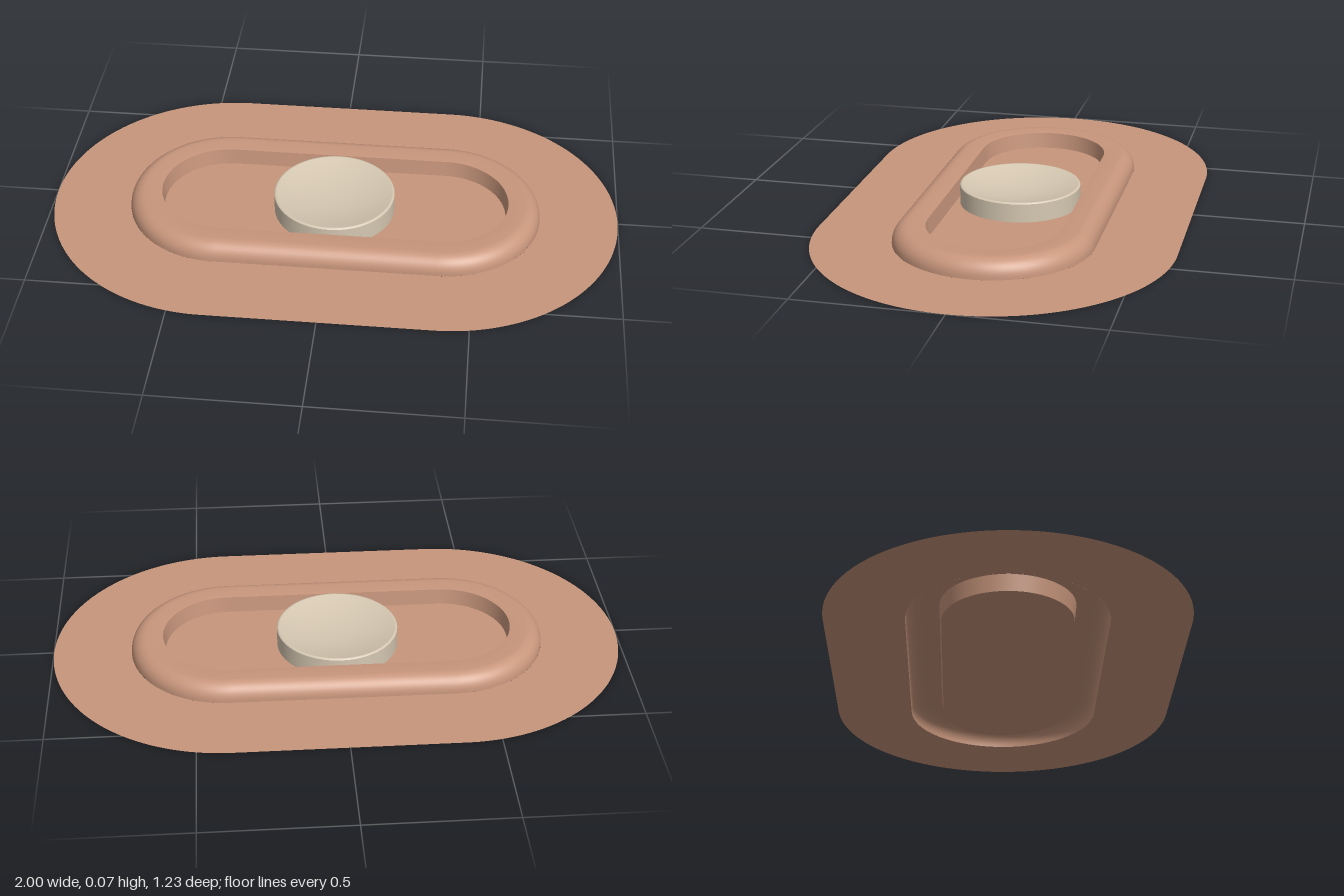
import * as THREE from 'three';

const HALF = 0.385; // half length of the straight sides

// Stadium outline of radius r in the given path or shape
function stadium(path, r) {
  path.moveTo(-HALF, -r);
  path.lineTo(HALF, -r);
  path.absarc(HALF, 0, r, -Math.PI / 2, Math.PI / 2, false);
  path.lineTo(-HALF, r);
  path.absarc(-HALF, 0, r, Math.PI / 2, Math.PI * 1.5, false);
  return path;
}

// Flat horizontal sheet at y = 0, optionally with a stadium hole
function sheet(r, hole) {
  const shape = stadium(new THREE.Shape(), r);
  if (hole) shape.holes.push(stadium(new THREE.Path(), hole));
  return new THREE.ShapeGeometry(shape, 48).rotateX(-Math.PI / 2);
}

// Sweep a profile of [offset, height] points around the stadium.
// A lathe is split in two halves, which are pulled apart by the straight sides.
function sweep(profile) {
  const steps = 96;
  const pos = [], index = [];
  const n = profile.length;
  for (let i = 0; i <= steps + 1; i++) {
    const right = i <= steps / 2;
    const a = -Math.PI / 2 + (right ? i : i - 1) / steps * Math.PI * 2;
    for (const [r, y] of profile) {
      pos.push((right ? HALF : -HALF) + r * Math.cos(a), y, -r * Math.sin(a));
    }
  }
  const rows = steps + 2;
  for (let i = 0; i < rows; i++) {
    const next = (i + 1) % rows;
    for (let j = 0; j < n - 1; j++) {
      const a = i * n + j, b = next * n + j;
      index.push(a, b, a + 1, b, b + 1, a + 1);
    }
  }
  const g = new THREE.BufferGeometry();
  g.setAttribute('position', new THREE.Float32BufferAttribute(pos, 3));
  g.setIndex(index);
  g.computeVertexNormals();
  return g;
}

export function createModel() {
  const group = new THREE.Group();
  const skin = new THREE.MeshStandardMaterial({ name: 'terracotta', color: 0xc8967c, side: THREE.DoubleSide });
  const cream = new THREE.MeshStandardMaterial({ name: 'cream', color: 0xd6c8b2, side: THREE.DoubleSide });
  const add = (name, geometry, material) => {
    const mesh = new THREE.Mesh(geometry, material);
    mesh.name = name;
    group.add(mesh);
  };

  // Flat surround and floor inside the ridge
  add('baseFlange', sheet(0.615, 0.342), skin);
  add('innerFloor', sheet(0.222), skin);

  // Hollow ridge: rounded outer shoulder, softly crowned top, steep inner wall
  const shoulder = [];
  for (let i = 0; i <= 10; i++) {
    const t = i / 10 * Math.PI / 2;
    shoulder.push([0.286 + 0.056 * Math.cos(t), 0.061 * Math.sin(t) ** 0.9]);
  }
  shoulder.push([0.255, 0.0605], [0.229, 0.058]);
  add('ridge', sweep(shoulder), skin);
  add('ridgeInnerWall', sweep([[0.229, 0.058], [0.222, 0]]), skin);

  // Round button: side wall, narrow rim and shallow dished top
  const v = (x, y) => new THREE.Vector2(x, y);
  add('buttonSide', new THREE.LatheGeometry([v(0.213, 0), v(0.213, 0.066)], 64), cream);
  add('buttonRim', new THREE.LatheGeometry([v(0.213, 0.066), v(0.21, 0.07), v(0.205, 0.07)], 64), cream);
  const dish = [];
  for (let i = 0; i <= 12; i++) {
    const r = 0.205 * (1 - i / 12);
    dish.push(v(r, 0.04 + 0.03 * (r / 0.205) ** 2));
  }
  add('buttonDish', new THREE.LatheGeometry(dish, 64), cream);

  return group;
}
